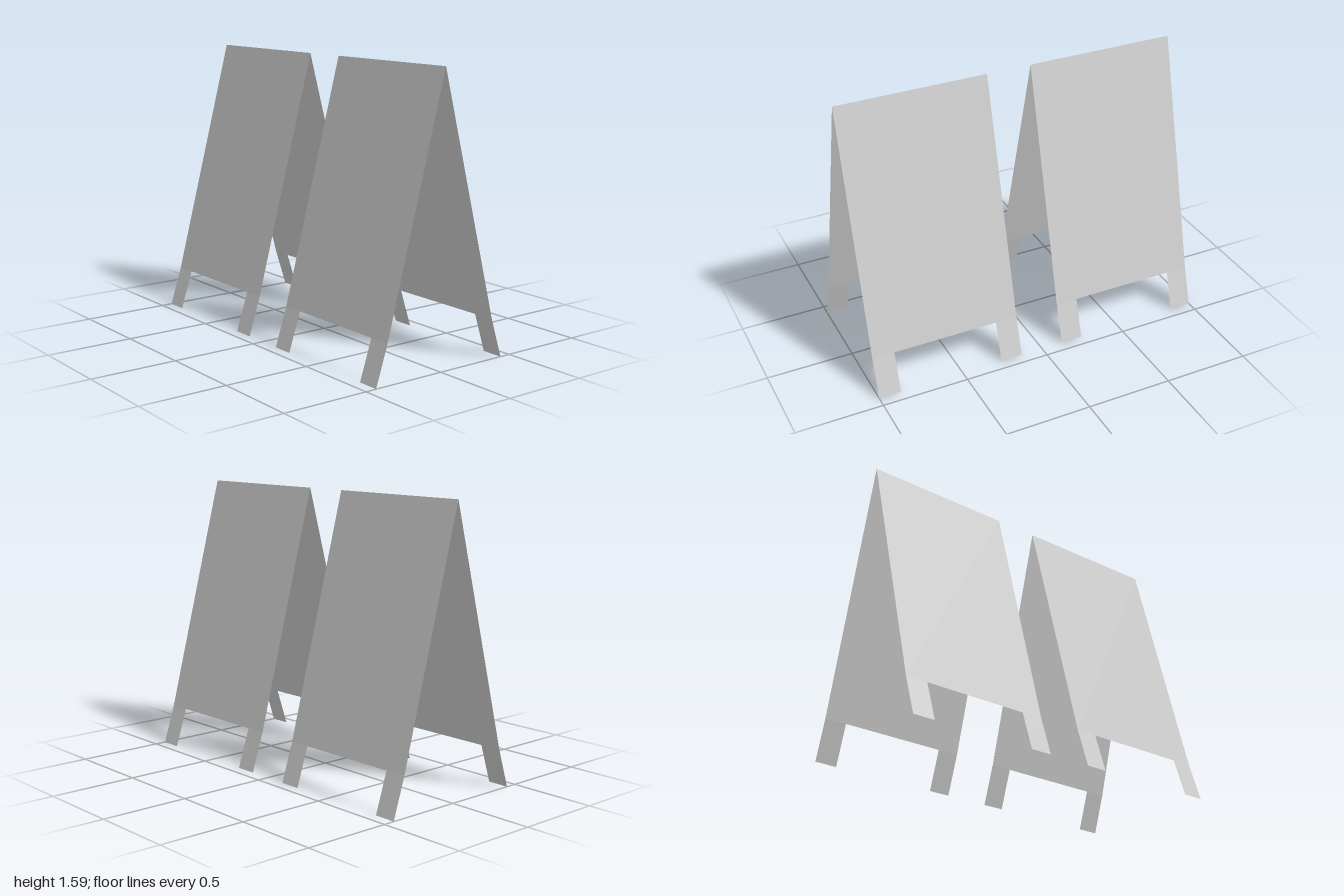
import * as THREE from 'three';

const gray = new THREE.MeshStandardMaterial({ color: 0xcccccc, side: THREE.DoubleSide });
gray.name = 'board gray';

// Flat sheet of the given width, spanning two (y, z) points, facing +z
function sheet(name, width, x, [y0, z0], [y1, z1]) {
  const geo = new THREE.PlaneGeometry(width, 1);
  const pos = geo.attributes.position;
  for (let i = 0; i < pos.count; i++) {
    const top = pos.getY(i) > 0;
    pos.setY(i, top ? y1 : y0);
    pos.setZ(i, top ? z1 : z0);
  }
  geo.computeVertexNormals();
  const mesh = new THREE.Mesh(geo, gray);
  mesh.name = name;
  mesh.position.x = x;
  return mesh;
}

// One leaning side of a sign: a board with two flared legs
function createSide(name) {
  const width = 0.87, legWidth = 0.128;
  const ridge = [1.588, 0], hem = [0.222, 0.363], foot = [0, 0.435];
  const side = new THREE.Group();
  side.name = name;
  side.add(sheet('board', width, 0, hem, ridge));
  for (const s of [-1, 1]) {
    side.add(sheet(s > 0 ? 'leftLeg' : 'rightLeg', legWidth, s * (width - legWidth) / 2, foot, hem));
  }
  return side;
}

export function createModel() {
  const model = new THREE.Group();
  model.name = 'sandwichBoards';
  // Two folding signs side by side
  for (const s of [-1, 1]) {
    const sign = new THREE.Group();
    sign.name = s > 0 ? 'leftSign' : 'rightSign';
    const front = createSide('frontSide');
    const back = createSide('backSide');
    back.rotation.y = Math.PI;
    sign.add(front, back);
    sign.position.x = s * 0.565;
    model.add(sign);
  }
  return model;
}
